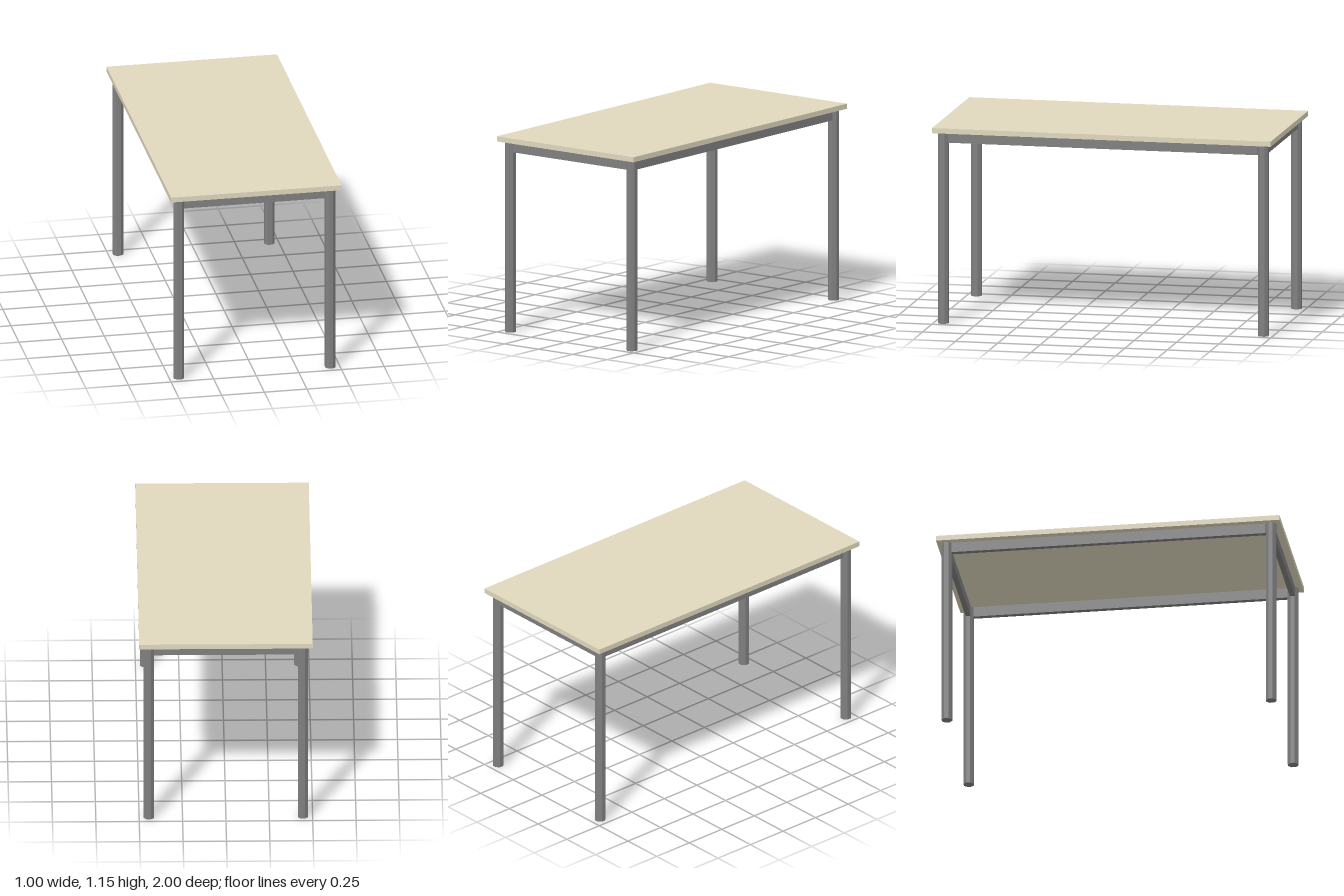
import * as THREE from 'three';

const TOP = 1.15, UNDER = 1.12;          // tabletop heights
const LEG_X = 0.444, LEG_Z = 0.944;      // leg centres
const LEG_R = 0.032;                     // octagon corner radius
const RAIL_H = 0.06, RAIL_T = 0.03;

export function createModel() {
  const table = new THREE.Group();
  table.name = 'table';
  const wood = new THREE.MeshStandardMaterial({ color: 0xe0d8be });
  const metal = new THREE.MeshStandardMaterial({ color: 0x808080, flatShading: true });

  const add = (name, geometry, material, x, y, z) => {
    const mesh = new THREE.Mesh(geometry, material);
    mesh.name = name;
    mesh.position.set(x, y, z);
    table.add(mesh);
  };

  // Tabletop slab
  add('tabletop', new THREE.BoxGeometry(1, TOP - UNDER, 2), wood, 0, (TOP + UNDER) / 2, 0);

  // Octagonal legs, flat sides facing the table's edges
  const leg = new THREE.CylinderGeometry(LEG_R, LEG_R, UNDER, 8).rotateY(Math.PI / 8);
  for (const [side, sx] of [['Left', 1], ['Right', -1]])
    for (const [end, sz] of [['front', 1], ['back', -1]])
      add(`${end}${side}Leg`, leg, metal, sx * LEG_X, UNDER / 2, sz * LEG_Z);

  // Apron rails running between the legs
  const inset = LEG_R * Math.cos(Math.PI / 8);
  const railY = UNDER - RAIL_H / 2;
  const endRail = new THREE.BoxGeometry(2 * (LEG_X - inset), RAIL_H, RAIL_T);
  const sideRail = new THREE.BoxGeometry(RAIL_T, RAIL_H, 2 * (LEG_Z - inset));
  add('frontRail', endRail, metal, 0, railY, LEG_Z);
  add('backRail', endRail, metal, 0, railY, -LEG_Z);
  add('leftRail', sideRail, metal, LEG_X, railY, 0);
  add('rightRail', sideRail, metal, -LEG_X, railY, 0);

  return table;
}
